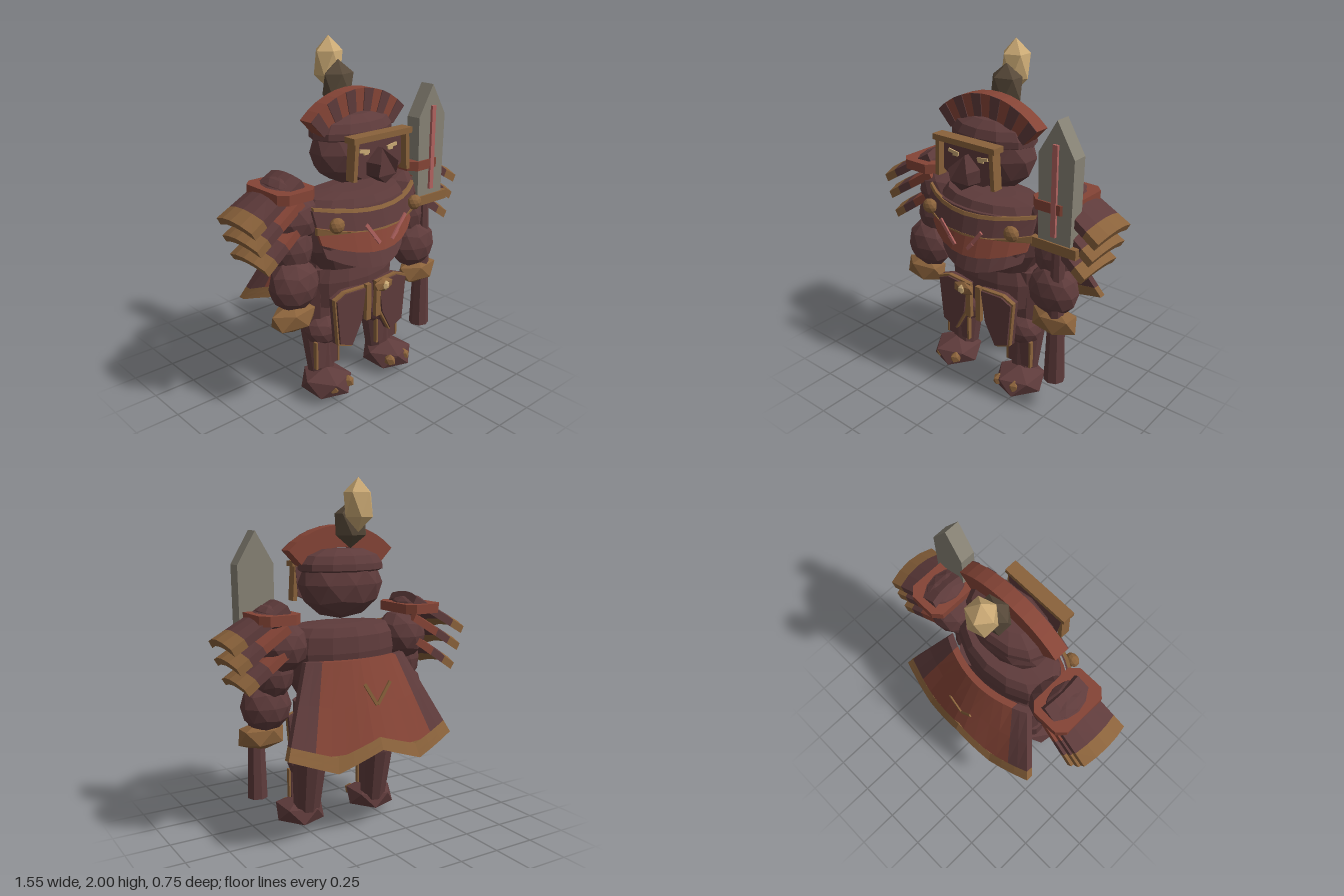
import * as THREE from 'three';

const mat = (name, color) => {
  const m = new THREE.MeshStandardMaterial({ color, flatShading: true, side: THREE.DoubleSide });
  m.name = name;
  return m;
};

export function createModel() {
  const root = new THREE.Group();
  root.name = 'armouredWarrior';
  const maroon = mat('maroon', 0x5e3b3b), dark = mat('darkMaroon', 0x553535), red = mat('red', 0x854436),
    gold = mat('bronze', 0x8a623b), steel = mat('steel', 0x878275), pale = mat('paleGold', 0xcbaa75),
    umber = mat('umber', 0x574939), pink = mat('pink', 0xb0635f);

  const add = (name, geo, m, x = 0, y = 0, z = 0, rz = 0, parent = root) => {
    const mesh = new THREE.Mesh(geo, m);
    mesh.name = name;
    mesh.position.set(x, y, z);
    mesh.rotation.z = rz;
    parent.add(mesh);
    return mesh;
  };
  const box = (w, h, d) => new THREE.BoxGeometry(w, h, d);
  // faceted ellipsoid with a vertex at the top
  const rock = (rx, ry, rz, detail = 1) =>
    new THREE.IcosahedronGeometry(1, detail).rotateZ(Math.atan(2 / (1 + Math.sqrt(5)))).scale(rx, ry, rz);
  const lathe = (pts, sides, depth) =>
    new THREE.LatheGeometry(pts.map(p => new THREE.Vector2(...p)), sides).scale(1, 1, depth);
  const plate = (pts, depth, s = 1) =>
    new THREE.ExtrudeGeometry(new THREE.Shape(pts.map(([x, y]) => new THREE.Vector2(x * s, y))),
      { depth, bevelEnabled: false });
  // move every vertex of a geometry by a rule
  const warp = (geo, rule) => {
    const p = geo.attributes.position;
    for (let i = 0; i < p.count; i++) p.setXYZ(i, ...rule(p.getX(i), p.getY(i), p.getZ(i)));
    geo.computeVertexNormals();
    return geo;
  };

  // Torso and hips
  add('torso', lathe([[0.26, 0.78], [0.33, 0.9], [0.36, 1.05], [0.345, 1.14], [0.3, 1.19], [0.15, 1.2], [0, 1.2]], 14, 0.58), maroon, 0, 0, 0.08);
  add('hips', lathe([[0, 0.55], [0.295, 0.55], [0.305, 0.7], [0.26, 0.84]], 14, 0.56), maroon, 0, 0, 0.05);

  // Overlapping breastplate bands, bowed across and dipping in the middle
  const band = (name, m, half, top, bottom, rise, z0, flare, dip = 0) => add(name,
    warp(new THREE.BoxGeometry(2, 1, 0.018, 8, 1, 1), (u, y, w) => {
      const v = 0.5 - y, yTop = top - dip * (1 - u * u), yBottom = bottom + rise * u * u;
      return [u * half, yTop + (yBottom - yTop) * v, z0 - 0.13 * u * u + flare * v + w];
    }), m);
  band('upperBreastplate', maroon, 0.37, 1.16, 1.03, 0.05, 0.305, 0.035);
  band('breastplateRim', gold, 0.372, 1.18, 1.13, 0.034, 0.313, 0.008, 0.03);
  band('upperTrim', gold, 0.37, 1.035, 1.024, 0.052, 0.341, 0.002);
  band('middleBreastplate', red, 0.335, 1.06, 0.9, 0.07, 0.29, 0.05);
  band('lowerBreastplate', maroon, 0.29, 0.95, 0.8, 0.08, 0.275, 0.05);
  for (const s of [-1, 1]) {
    add('breastplateBoss', rock(0.046, 0.044, 0.035), gold, s * 0.29, 1.09, 0.285);
    add('chestBlade', box(0.02, 0.16, 0.009), pink, s * 0.095, 1.015, 0.354, -s * 0.68);
    add('chestHilt', box(0.055, 0.018, 0.009), pink, s * 0.065, 0.975, 0.356, s * 0.8);
  }

  // Head, helmet and plume
  add('head', rock(0.265, 0.2, 0.165), maroon, 0, 1.42, 0.07);
  add('helmet', lathe([[0.24, 1.49], [0.266, 1.5], [0.264, 1.535], [0.23, 1.58], [0.14, 1.615], [0, 1.62]], 12, 0.62), maroon, 0, 0, 0.07);
  add('lowerPlume', rock(0.104, 0.13, 0.08, 0), umber, 0, 1.75, -0.035);
  add('upperPlume', rock(0.09, 0.145, 0.085, 0), pale, 0, 1.855, -0.115);

  // Arched crest with dark stripes on its front
  const crest = new THREE.Group();
  crest.name = 'crest';
  root.add(crest);
  const parts = 11, span = 1.54;
  for (let i = 0; i < parts; i++) {
    const a = -span / 2 + span * i / parts, b = a + span / parts;
    const at = (r, t) => [r * Math.sin(t), 1.265 + r * Math.cos(t)];
    const outline = [at(0.36, a), at(0.36, b), at(0.482, b), at(0.482, a)];
    add('crestSegment', plate(outline, 0.088), red, 0, 0, 0.05, 0, crest);
    if (i % 2 === 0) add('crestStripe', plate(outline, 0.004), maroon, 0, 0, 0.138, 0, crest);
  }

  // Face mask
  add('mask', plate([[-0.19, 1.51], [0.19, 1.51], [0.175, 1.34], [0.1, 1.3], [-0.1, 1.3], [-0.175, 1.34]], 0.025), maroon, 0, 0, 0.255);
  add('maskBrow', box(0.42, 0.032, 0.075), gold, 0, 1.525, 0.288);
  // beak that juts out below the brow
  add('snout', warp(plate([[0, 1.46], [-0.08, 1.39], [-0.08, 1.32], [0, 1.275], [0.08, 1.32], [0.08, 1.39]], 1),
    (x, y, z) => [x * (1 - 0.2 * z), y, z < 0.5 ? 0.28 : 0.37 - 0.85 * Math.max(0, y - 1.39) - 0.3 * Math.max(0, 1.37 - y)]), dark);
  for (const s of [-1, 1]) {
    add('maskSide', box(0.026, 0.22, 0.06), gold, s * 0.187, 1.42, 0.288, s * 0.06);
    add('eye', box(0.07, 0.018, 0.008), pale, s * 0.1, 1.452, 0.284, s * 0.15);
    add('eyeCorner', box(0.035, 0.016, 0.008), pale, s * 0.088, 1.44, 0.284);
  }

  // Shoulder plate with bent sides and a bronze edge
  const lame = (parent, x, y, len, tilt, inner) => {
    const g = new THREE.Group();
    g.name = 'shoulderPlate';
    g.position.set(x, y, 0);
    g.rotation.z = -tilt;
    parent.add(g);
    for (const [a, b, m] of [[0, 0.5, inner], [0.5, 0.77, maroon], [0.77, 1, gold]]) {
      const geo = new THREE.BoxGeometry((b - a) * len, 0.045, 1, 1, 1, 4).translate((a + b) / 2 * len, 0, 0);
      add('plateSection', warp(geo, (px, py, pz) => {
        const z = pz * (0.25 + 0.06 * px / len);
        return [px, py - 1.5 * z * z, z];
      }), m, 0, 0, 0, 0, g);
    }
  };

  for (const s of [-1, 1]) {
    // Arms
    add('shoulder', rock(0.155, 0.15, 0.15), maroon, s * 0.4, 1.1, 0.04);
    add('upperArm', rock(0.12, 0.15, 0.11), maroon, s * 0.43, 0.95, 0.08);
    add('forearm', rock(0.15, 0.15, 0.115), maroon, s * 0.455, 0.755, 0.125);
    add('gauntlet', rock(0.155, 0.09, 0.092, 0), gold, s * 0.48, 0.58, 0.145);

    // Shoulder armour
    const pauldron = new THREE.Group();
    pauldron.name = s > 0 ? 'leftPauldron' : 'rightPauldron';
    pauldron.position.z = 0.035;
    pauldron.rotation.y = s > 0 ? 0 : Math.PI;
    root.add(pauldron);
    lame(pauldron, 0.42, 1.335, 0.39, 0.5, maroon);
    lame(pauldron, 0.42, 1.23, 0.365, 0.53, red);
    lame(pauldron, 0.4, 1.12, 0.35, 0.57, red);
    add('pauldronBand', plate([[-0.12, -0.13], [-0.075, -0.174], [0.075, -0.174], [0.12, -0.13],
      [0.12, 0.13], [0.075, 0.174], [-0.075, 0.174], [-0.12, 0.13]], 0.055).rotateX(-Math.PI / 2), red, 0.465, 1.235, s * 0.006, 0, pauldron);
    add('pauldronCap', rock(0.095, 0.07, 0.14), maroon, 0.455, 1.265, 0, 0, pauldron);

    // Legs
    add('thigh', new THREE.CylinderGeometry(0.11, 0.1, 0.36, 12), maroon, s * 0.215, 0.6, 0.025);
    add('shin', warp(new THREE.CylinderGeometry(0.105, 0.075, 0.36, 10), (x, y, z) => [x, y, z - y * 0.12]), maroon, s * 0.23, 0.27, 0.055);
    add('knee', rock(0.125, 0.1, 0.095), maroon, s * 0.215, 0.4, 0.085);
    add('greave', box(0.15, 0.17, 0.03), maroon, s * 0.235, 0.27, 0.125);
    for (const dx of [-0.08, 0.08]) add('greaveTrim', box(0.013, 0.17, 0.025), gold, s * 0.235 + dx, 0.27, 0.13);
    add('foot', rock(0.157, 0.09, 0.168, 0), maroon, s * 0.245, 0.09, 0.135);
    for (const x of [0.17, 0.285]) add('toePlate', rock(0.034, 0.038, 0.04, 0), gold, s * x, 0.1, 0.24);

    // Hip plates with bronze borders
    const border = [[0.04, 0.66], [0.2, 0.67], [0.275, 0.64], [0.25, 0.36], [0.15, 0.32], [0.07, 0.46]];
    add('hipPlateBacking', plate(border, 0.022, s), maroon, 0, 0, 0.2);
    add('hipPlateBorder', plate(border, 0.025, s), gold, 0, 0, 0.222);
    add('hipPlate', plate([[0.052, 0.652], [0.198, 0.66], [0.265, 0.63], [0.241, 0.368], [0.152, 0.332], [0.081, 0.463]], 0.012, s), maroon, 0, 0, 0.246);
    add('beltStrip', box(0.035, 0.22, 0.025), gold, s * 0.037, 0.565, 0.255);
  }

  // Belt buckle
  add('buckle', rock(0.075, 0.042, 0.026, 0), gold, 0, 0.69, 0.342);
  add('buckleGem', rock(0.025, 0.03, 0.016, 0), pale, 0, 0.69, 0.36);

  // Curved cape with a zigzag hem; u runs across, v runs down
  const cape = new THREE.Group();
  cape.name = 'cape';
  root.add(cape);
  const capePiece = (name, m, u0, u1, v0, v1) => add(name,
    warp(new THREE.BoxGeometry(1, 1, 1, Math.round((u1 - u0) * 6), 2, 1), (x, y, w) => {
      const u = u0 + (x + 0.5) * (u1 - u0), v = v0 + (0.5 - y) * (v1 - v0);
      const hem = 0.46 + 0.19 * Math.abs(Math.abs(u) - 0.5);
      return [u * (0.32 + 0.21 * v), 1.02 + (hem - 1.02) * v, -0.165 - 0.19 * v + 0.085 * u * u + w * 0.04];
    }), m, 0, 0, 0, 0, cape);
  capePiece('capeCentre', red, -0.75, 0.75, 0, 0.86);
  capePiece('capeSide', maroon, -1, -0.75, 0, 0.86);
  capePiece('capeSide', maroon, 0.75, 1, 0, 0.86);
  capePiece('capeHem', gold, -1, 1, 0.86, 1);
  for (const s of [-1, 1]) add('capeChevron', box(0.018, 0.145, 0.009), gold, s * 0.042, 0.855, -0.315, -s * 0.58);

  // Great sword held upright
  const sword = new THREE.Group();
  sword.name = 'sword';
  sword.position.set(0.503, 0, 0.16);
  root.add(sword);
  add('blade', plate([[-0.1, 1.07], [0.1, 1.07], [0.107, 1.54], [0, 1.72], [-0.107, 1.54]], 0.09), steel, 0, 0, -0.045, 0, sword);
  add('fuller', box(0.03, 0.49, 0.02), pink, 0, 1.355, 0.05, 0, sword);
  add('crossguard', box(0.28, 0.055, 0.11), gold, 0, 1.047, 0, 0, sword);
  add('grip', new THREE.CylinderGeometry(0.034, 0.06, 0.81, 8), maroon, 0, 0.62, 0, 0, sword);

  return root;
}
